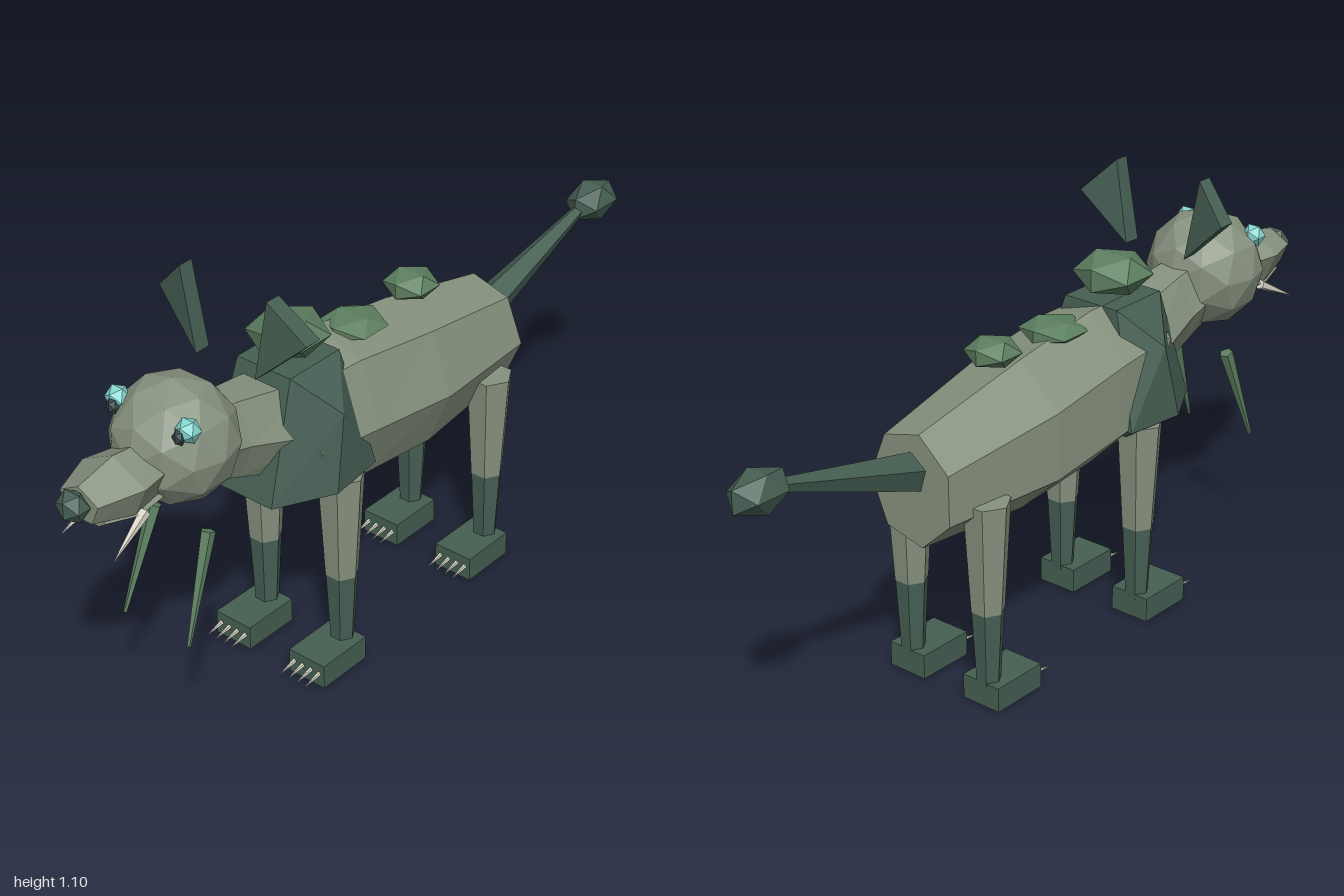
import * as THREE from 'three';
import { ConvexGeometry } from 'three/addons/geometries/ConvexGeometry.js';

const mat = (name, color) => {
  const m = new THREE.MeshStandardMaterial({ color, flatShading: true });
  m.name = name;
  return m;
};

export function createModel() {
  const model = new THREE.Group();
  model.name = 'hound';
  const hide = mat('grey hide', 0x87927f);
  const dark = mat('dark fur', 0x465f53);
  const moss = mat('moss green', 0x5c7f60);
  const cyan = mat('eye cyan', 0x86d6d0);
  const pupil = mat('pupil dark', 0x34474a);
  const bone = mat('bone', 0xd6d2c2);
  const V = (x, y, z) => new THREE.Vector3(x, y, z);

  const add = (name, geo, material, pos = [0, 0, 0], parent = model) => {
    const mesh = new THREE.Mesh(geo, material);
    mesh.name = name;
    mesh.position.set(...pos);
    parent.add(mesh);
    return mesh;
  };

  // Tapered rod between two points
  const rod = (name, a, b, ra, rb, sides, material, parent = model) => {
    const from = V(...a), to = V(...b), dir = to.clone().sub(from);
    const geo = new THREE.CylinderGeometry(rb, ra, dir.length(), sides);
    const mesh = add(name, geo, material, [0, 0, 0], parent);
    mesh.position.copy(from).add(to).multiplyScalar(0.5);
    mesh.quaternion.setFromUnitVectors(V(0, 1, 0), dir.normalize());
    return mesh;
  };

  // Squashed faceted lump
  const lump = (name, pos, radii, material, detail = 0, parent = model) =>
    add(name, new THREE.IcosahedronGeometry(1, detail).scale(...radii), material, pos, parent);

  // Closed loft through polygon rings: [z, centre y, x radius, y radius], front to back
  const loft = (name, rings, sides, phase, material) => {
    const pos = [], idx = [];
    for (const [z, cy, rx, ry] of rings)
      for (let i = 0; i < sides; i++) {
        const a = phase + (i / sides) * Math.PI * 2;
        pos.push(Math.sin(a) * rx, cy - Math.cos(a) * ry, z);
      }
    for (let r = 0; r < rings.length - 1; r++)
      for (let i = 0; i < sides; i++) {
        const j = (i + 1) % sides, p = r * sides, q = p + sides;
        idx.push(p + i, q + i, q + j, p + i, q + j, p + j);
      }
    const last = (rings.length - 1) * sides;
    for (let i = 1; i < sides - 1; i++) {
      idx.push(0, i, i + 1);
      idx.push(last, last + i + 1, last + i);
    }
    const geo = new THREE.BufferGeometry();
    geo.setAttribute('position', new THREE.Float32BufferAttribute(pos, 3));
    geo.setIndex(idx);
    geo.computeVertexNormals();
    return add(name, geo, material);
  };

  // Torso and neck
  loft('torso', [
    [0.34, 0.645, 0.15, 0.19],
    [0.15, 0.63, 0.165, 0.205],
    [-0.11, 0.597, 0.17, 0.197],
    [-0.45, 0.572, 0.128, 0.147],
  ], 7, -0.24, hide);
  loft('neck', [
    [0.6, 0.745, 0.08, 0.1],
    [0.5, 0.72, 0.085, 0.115],
    [0.28, 0.66, 0.125, 0.14],
  ], 6, Math.PI / 6, hide);

  // Shoulder mane
  const mane = [
    [0.1, 0.535, 0.46], [0.18, 0.54, 0.32], [0.16, 0.54, 0.16],
    [0.165, 0.73, 0.28], [0.08, 0.83, 0.365], [0.08, 0.83, 0.195],
  ];
  add('mane', new ConvexGeometry([
    V(0, 0.415, 0.28),
    ...mane.flatMap(([x, y, z]) => [V(x, y, z), V(-x, y, z)]),
  ]), dark);

  // Head, snout and nose
  lump('head', [0, 0.79, 0.657], [0.152, 0.152, 0.145], hide, 1);
  loft('snout', [
    [0.95, 0.765, 0.06, 0.045],
    [0.845, 0.765, 0.1, 0.07],
    [0.75, 0.765, 0.08, 0.06],
  ], 5, Math.PI / 5, hide);
  loft('jaw', [
    [0.92, 0.717, 0.045, 0.018],
    [0.84, 0.705, 0.065, 0.025],
    [0.76, 0.71, 0.06, 0.025],
  ], 6, Math.PI / 6, hide);
  lump('nose', [0, 0.77, 0.968], [0.042, 0.04, 0.034], dark);

  // Back knobs
  [
    [0.885, 0.28, 0.1, 0.056],
    [0.807, 0.052, 0.085, 0.03],
    [0.82, -0.165, 0.07, 0.037],
  ].forEach(([y, z, r, h]) => lump('backKnob', [0, y, z], [r, h, r], moss));

  // Tail with tuft
  rod('tail', [0, 0.61, -0.43], [0, 0.743, -0.88], 0.05, 0.015, 5, dark);
  lump('tailTuft', [0, 0.745, -0.92], [0.058, 0.055, 0.088], dark);

  for (const s of [1, -1]) {
    const side = s > 0 ? 'left' : 'right';

    // Eyes
    lump(side + 'Eye', [s * 0.105, 0.88, 0.72], [0.031, 0.031, 0.029], cyan, 0);
    lump(side + 'Pupil', [s * 0.099, 0.87, 0.743], [0.017, 0.02, 0.014], pupil, 0);

    // Ears: thin triangular wedges
    const ear = [
      [0.088, 0.89, 0.49], [0.09, 0.89, 0.445],
      [0.128, 1.1, 0.49], [0.128, 1.1, 0.45],
      [0.218, 1.01, 0.465], [0.218, 1.01, 0.42],
    ];
    add(side + 'Ear', new ConvexGeometry(ear.map(([x, y, z]) => V(s * x, y, z))), dark);

    // Fangs and hanging tendrils
    rod(side + 'Fang', [s * 0.062, 0.705, 0.82], [s * 0.08, 0.645, 0.935], 0.014, 0.001, 5, bone);
    rod(side + 'Tendril', [s * 0.082, 0.572, 0.65], [s * 0.1, 0.315, 0.745], 0.018, 0.005, 5, moss);

    // Legs, paws and claws
    for (const [label, z] of [['Front', 0.24], ['Rear', -0.328]]) {
      const leg = new THREE.Group();
      leg.name = side + label + 'Leg';
      leg.position.set(s * 0.122, 0, z);
      model.add(leg);
      const part = (name, y0, y1, r0, r1, material) => {
        const geo = new THREE.CylinderGeometry(r1, r0, y1 - y0, 6);
        geo.rotateY(Math.PI / 6);
        add(name, geo, material, [0, (y0 + y1) / 2, 0], leg);
      };
      part('upperLeg', 0.25, 0.535, 0.042, 0.059, hide);
      part('lowerLeg', 0.05, 0.25, 0.03, 0.041, dark);
      add('paw', new THREE.BoxGeometry(0.11, 0.064, 0.155), dark, [-s * 0.003, 0.032, 0.052], leg);
      for (let i = 0; i < 4; i++) {
        const x = -s * 0.003 + (i - 1.5) * 0.026;
        rod('claw', [x, 0.038, 0.12], [x, 0.028, 0.178], 0.007, 0.001, 5, bone, leg);
      }
    }
  }
  return model;
}
